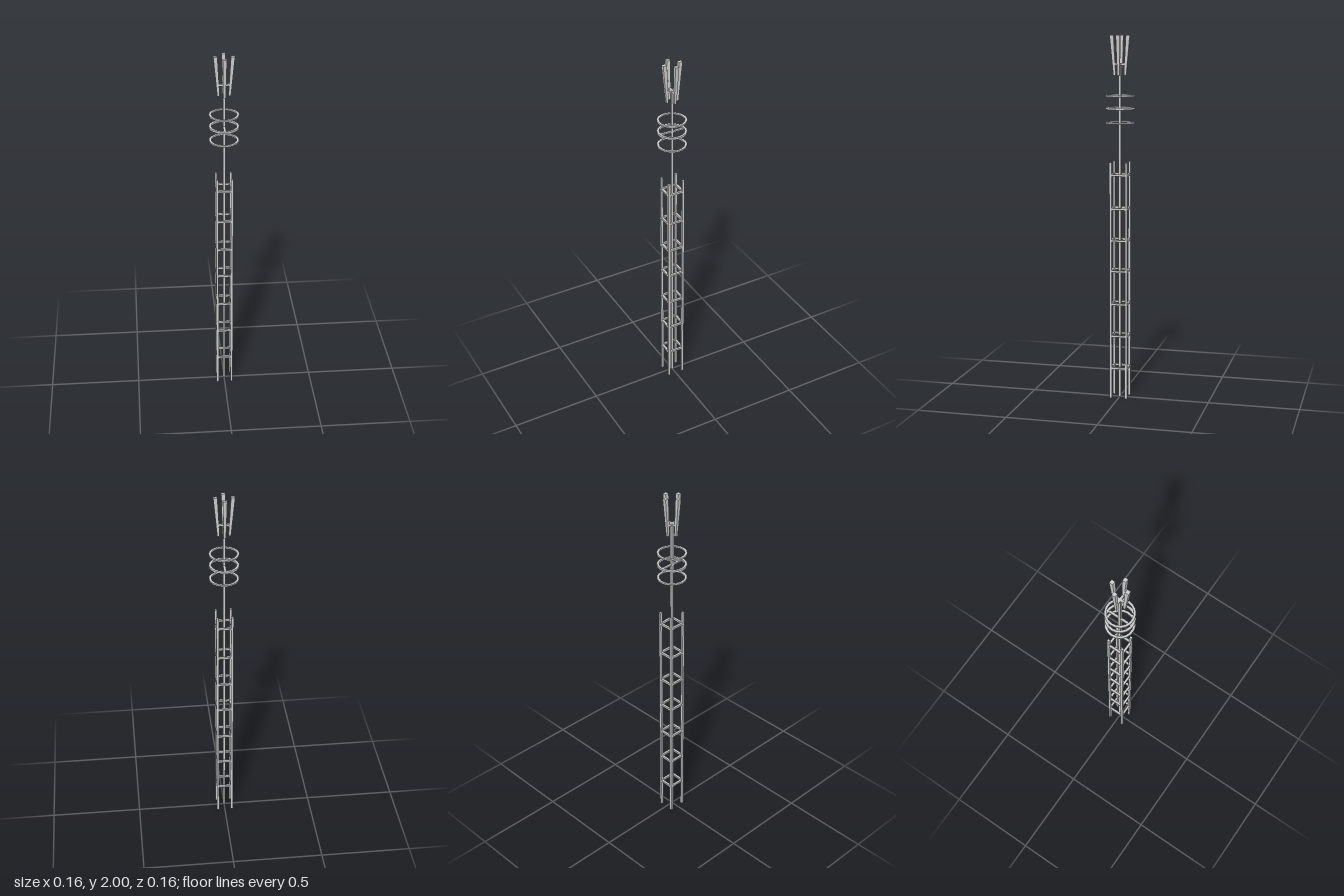
import * as THREE from 'three';

const material = new THREE.MeshStandardMaterial({ color: 0xcccccc, flatShading: true });

export function createModel() {
  const model = new THREE.Group();
  const bar = 0.013;

  function add(name, geometry, x = 0, y = 0, z = 0) {
    const mesh = new THREE.Mesh(geometry, material);
    mesh.name = name;
    mesh.position.set(x, y, z);
    model.add(mesh);
    return mesh;
  }
  const box = (name, w, h, d, x, y, z) => add(name, new THREE.BoxGeometry(w, h, d), x, y, z);

  // Central mast, running the full height up to the antenna cross
  box('mast', bar, 1.85, bar, 0, 0.925, 0);

  // Lattice tower: four corner posts
  const halfX = 0.04, backZ = -0.045, frontZ = 0.042;
  const towerHeight = 1.32;
  for (const x of [-halfX, halfX]) {
    for (const z of [backZ, frontZ]) {
      box('cornerPost', bar, towerHeight, bar, x, towerHeight / 2, z);
    }
  }

  // Square frames of rungs tying the posts together
  for (const y of [0.172, 0.355, 0.535, 0.72, 0.89, 1.065, 1.25]) {
    for (const z of [backZ, frontZ]) box('crossRung', halfX * 2, 0.011, bar, 0, y, z);
    for (const x of [-halfX, halfX]) {
      box('sideRung', bar, 0.011, frontZ - backZ, x, y, (frontZ + backZ) / 2);
    }
  }

  // Flat 18-sided rings around the mast
  function ringGeometry(inner, outer, height) {
    const h = height / 2;
    const section = [[inner, -h], [outer, -h], [outer, h], [inner, h], [inner, -h]];
    // start angle places a corner on the x axis
    return new THREE.LatheGeometry(section.map(p => new THREE.Vector2(...p)), 18, Math.PI / 2);
  }
  for (const [y, height] of [[1.532, 0.008], [1.61, 0.011], [1.677, 0.008]]) {
    add('ring', ringGeometry(0.067, 0.08, height), 0, y, 0);
  }
  box('ringSpoke', bar, 0.008, 0.144, 0, 1.61, 0);

  // Cross bars carrying the four antenna arms
  box('armCrossbarX', 0.072, 0.011, bar, 0, 1.845, 0);
  box('armCrossbarZ', bar, 0.011, 0.072, 0, 1.845, 0);

  // Tapered arms that lean outward and widen toward the top
  const armBottom = 1.785, armHeight = 2 - armBottom;
  for (let i = 0; i < 4; i++) {
    const geometry = new THREE.BoxGeometry(1, armHeight, 1);
    const p = geometry.attributes.position;
    for (let k = 0; k < p.count; k++) {
      const top = p.getY(k) > 0;
      const width = top ? 0.021 : 0.013;
      p.setX(k, p.getX(k) * width + (top ? 0.045 : 0.029));
      p.setZ(k, p.getZ(k) * width);
    }
    geometry.computeVertexNormals();
    const arm = add('antennaArm', geometry, 0, armBottom + armHeight / 2, 0);
    arm.rotation.y = i * Math.PI / 2;
  }

  return model;
}
